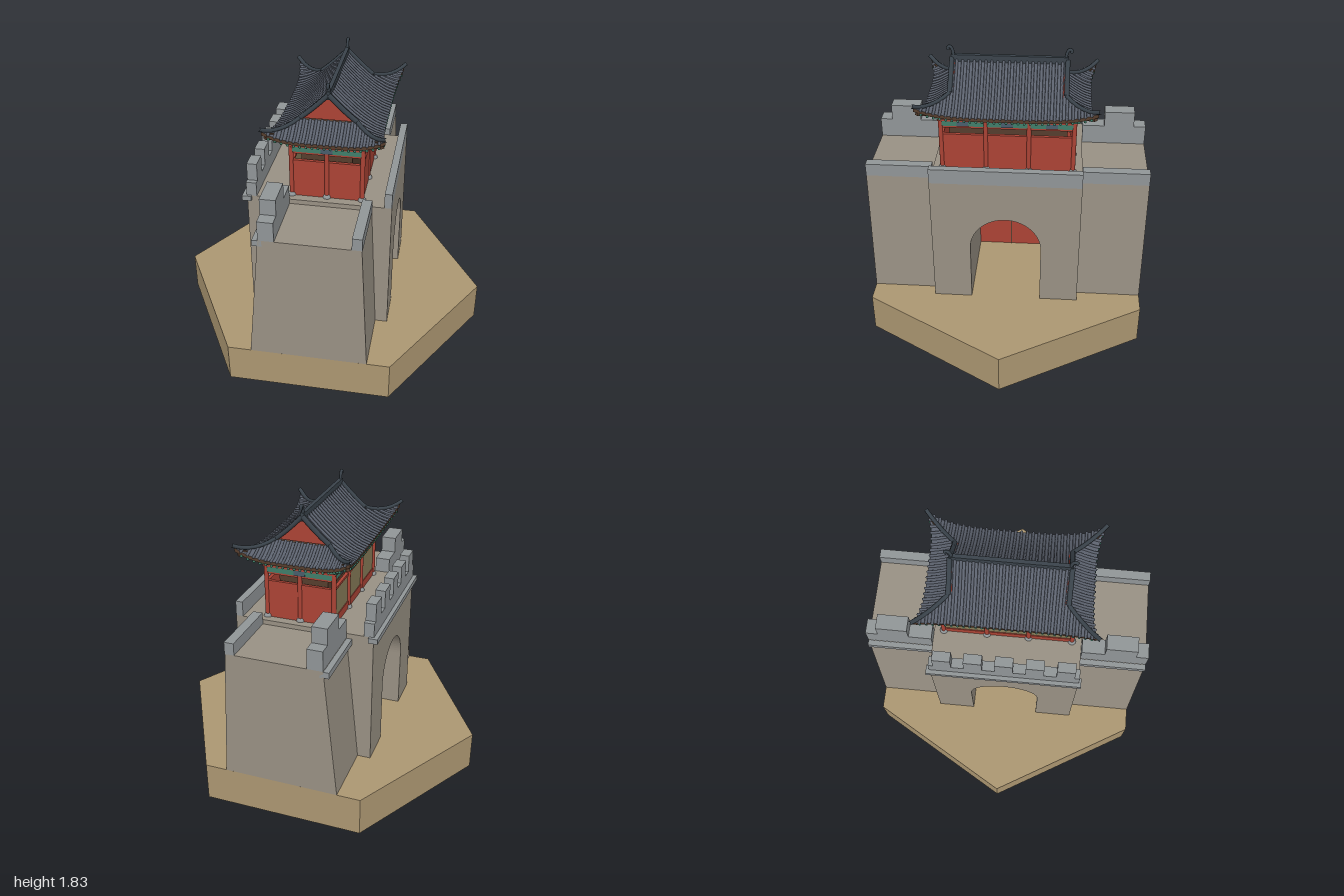
import * as THREE from 'three';
import { mergeGeometries } from 'three/addons/utils/BufferGeometryUtils.js';

const mat = (name, color, side = THREE.FrontSide) =>
  Object.assign(new THREE.MeshStandardMaterial({ color, side }), { name });

export function createModel() {
  const M = {
    sand: mat('sand', 0xab9671), stone: mat('wall stone', 0x989083), grey: mat('grey stone', 0x909597),
    red: mat('red lacquer', 0xab4335), slate: mat('roof slate', 0x5b616d, THREE.DoubleSide),
    ridge: mat('dark ridge', 0x3a434b), green: mat('painted green', 0x3f7d69),
    blue: mat('painted blue', 0x485d6b), beige: mat('paper panel', 0x877b58),
    wood: mat('dark wood', 0x553d2d, THREE.DoubleSide),
  };
  const model = new THREE.Group();
  const add = (parent, name, geo, m) => {
    const mesh = new THREE.Mesh(geo, m);
    mesh.name = name;
    parent.add(mesh);
    return mesh;
  };
  // box given by its minimum and maximum on each axis
  const box = (x0, x1, y0, y1, z0, z1) =>
    new THREE.BoxGeometry(x1 - x0, y1 - y0, z1 - z0)
      .translate((x0 + x1) / 2, (y0 + y1) / 2, (z0 + z1) / 2);
  const tube = (pts, r, n = 8, sides = 5) =>
    new THREE.TubeGeometry(new THREE.CatmullRomCurve3(pts), n, r, sides);
  const V = (x, y, z) => new THREE.Vector3(x, y, z);

  // ---- hexagonal ground ----
  const hex = new THREE.CylinderGeometry(1, 1, 0.25, 6).toNonIndexed();
  hex.rotateY(Math.PI / 6).translate(0, 0.125, 0).computeVertexNormals();
  add(model, 'ground', hex, M.sand);

  // ---- gate block with arched passage, and door ----
  const arch = (s) => {
    s.lineTo(0.22, 0.64);
    s.absarc(0, 0.64, 0.22, 0, Math.PI, false);
    s.lineTo(-0.22, 0.25);
    return s;
  };
  const alongX = (shape, x0, x1) =>
    new THREE.ExtrudeGeometry(shape, { depth: x1 - x0, bevelEnabled: false, curveSegments: 20 })
      .rotateY(Math.PI / 2).translate(x0, 0, 0);
  const block = arch(new THREE.Shape().moveTo(0.46, 1.11) && startBlock());
  function startBlock() {
    const s = new THREE.Shape();
    s.moveTo(0.46, 0.25);
    s.lineTo(0.22, 0.25);
    return s;
  }
  block.lineTo(-0.46, 0.25);
  block.lineTo(-0.46, 1.11);
  block.lineTo(0.46, 1.11);
  add(model, 'gateBlock', alongX(block, -0.437, 0.435), M.stone);
  const door = new THREE.Shape();
  door.moveTo(0.22, 0.25);
  add(model, 'door', alongX(arch(door), -0.18, -0.15), M.red);
  for (const x of [-0.182, -0.148])
    add(model, 'doorSeam', box(x - 0.002, x + 0.002, 0.25, 0.82, -0.003, 0.003), M.wood);

  // ---- gate block parapets ----
  add(model, 'innerParapet', box(0.39, 0.435, 1.11, 1.205, -0.46, 0.46), M.grey);
  add(model, 'outerLedge', box(-0.466, -0.41, 1.08, 1.112, -0.48, 0.475), M.grey);
  add(model, 'outerParapet', box(-0.44, -0.378, 1.11, 1.2, -0.46, 0.46), M.grey);
  for (let i = -2; i <= 2; i++)
    add(model, 'merlon', box(-0.44, -0.378, 1.2, 1.31, i * 0.187 - 0.055, i * 0.187 + 0.055), M.grey);

  // ---- tapered side walls with their parapets ----
  const wing = new THREE.Shape([[-0.355, 0.25], [0.36, 0.25], [0.317, 1.08], [-0.273, 1.08]]
    .map(([x, y]) => new THREE.Vector2(x, y)));
  for (const s of [-1, 1]) {
    const g = new THREE.Group();
    g.name = s > 0 ? 'frontWall' : 'backWall';
    model.add(g);
    const zBox = (x0, x1, y0, y1, a, b) => box(x0, x1, y0, y1, Math.min(s * a, s * b), Math.max(s * a, s * b));
    const body = new THREE.ExtrudeGeometry(wing, { depth: 0.426, bevelEnabled: false });
    add(g, 'wallBody', body.translate(0, 0, s > 0 ? 0.44 : -0.866), M.stone);
    add(g, 'lowParapet', zBox(0.26, 0.319, 1.075, 1.155, 0.46, 0.866), M.grey);
    add(g, 'highParapet', zBox(-0.272, -0.178, 1.075, 1.205, 0.46, 0.866), M.grey);
    add(g, 'wallMerlon', zBox(-0.272, -0.178, 1.205, 1.305, 0.6, 0.79), M.grey);
    add(g, 'wallLedge', zBox(-0.307, -0.25, 1.04, 1.078, 0.46, 0.866), M.grey);
  }

  // ---- gate tower ----
  const tower = new THREE.Group();
  tower.name = 'tower';
  tower.position.x = 0.038;
  model.add(tower);
  const HX = 0.212, HZ = 0.4;
  add(tower, 'innerRoom', box(-0.16, 0.145, 1.11, 1.41, -0.36, 0.36), M.wood);
  for (const s of [-1, 1]) {
    add(tower, 'endWall', box(-HX, HX, 1.11, 1.35, s * 0.395 - 0.01, s * 0.395 + 0.01), M.red);
  }
  add(tower, 'sideWall', box(0.197, 0.217, 1.11, 1.35, -HZ, HZ), M.red);
  add(tower, 'openSideSill', box(-0.217, -0.197, 1.11, 1.16, -HZ, HZ), M.red);
  add(tower, 'openSideRail', box(-0.217, -0.197, 1.335, 1.35, -HZ, HZ), M.red);
  for (const z of [-0.265, 0, 0.265])
    add(tower, 'paperPanel', box(-0.212, -0.203, 1.16, 1.335, z - 0.12, z + 0.12), M.beige);

  // columns on stone bases
  const spots = [];
  for (const z of [-HZ, -0.13, 0.13, HZ]) for (const x of [-HX, HX]) spots.push([x, z]);
  for (const z of [-HZ, HZ]) spots.push([0, z]);
  for (const [x, z] of spots) {
    add(tower, 'column', new THREE.CylinderGeometry(0.014, 0.014, 0.33, 12).translate(x, 1.275, z), M.red);
    add(tower, 'columnBase', new THREE.SphereGeometry(0.025, 12, 6, 0, Math.PI * 2, 0, Math.PI / 2)
      .translate(x, 1.11, z), M.grey);
  }

  // painted beams
  const slab = (name, e, y0, y1, m) => add(tower, name, box(-HX - e, HX + e, y0, y1, -HZ - e, HZ + e), m);
  slab('lowerBeam', 0.006, 1.395, 1.408, M.red);
  slab('paintedBeam', 0.01, 1.408, 1.442, M.green);
  slab('upperBeam', 0.016, 1.442, 1.456, M.red);
  slab('bracketCore', -0.01, 1.456, 1.535, M.wood);

  // bracket sets and the painted shields below them
  const bracket = (x, z) => {
    const parts = [[0.024, 1.456], [0.038, 1.474], [0.054, 1.492]].map(([h, y]) =>
      box(x - h, x + h, y, y + 0.012, z - h, z + h));
    add(tower, 'bracketArms', mergeGeometries(parts), M.green);
    add(tower, 'bracketBlock', new THREE.CylinderGeometry(0.05, 0.022, 0.045, 4, 1)
      .rotateY(Math.PI / 4).toNonIndexed().translate(x, 1.478, z), M.blue).geometry.computeVertexNormals();
  };
  for (const s of [-1, 1]) {
    for (let i = -3; i <= 3; i++) {
      bracket(s * HX, i * HZ / 3);
      if (i % 2 === 0) add(tower, 'shield',
        box(s * (HX + 0.01) - 0.004, s * (HX + 0.01) + 0.004, 1.409, 1.441, i * HZ / 3 - 0.035, i * HZ / 3 + 0.035), M.blue);
    }
    for (const x of [-0.07, 0.07]) bracket(x, s * HZ);
    add(tower, 'shield', box(-0.035, 0.035, 1.409, 1.441, s * (HZ + 0.01) - 0.004, s * (HZ + 0.01) + 0.004), M.blue);
    // purlins carrying the eaves
    add(tower, 'sidePurlin', box(s * 0.255 - 0.008, s * 0.255 + 0.008, 1.502, 1.518, -0.45, 0.45), M.green);
    add(tower, 'endPurlin', box(-0.265, 0.265, 1.502, 1.518, s * 0.44 - 0.008, s * 0.44 + 0.008), M.green);
  }

  // ---- hip-and-gable roof ----
  const A = 0.165, B = 0.345, RUN = 0.145, FLARE = 0.04;
  const slope = (d) => 1.51 + 0.235 * Math.pow(Math.max(0, 1 - d / (A + RUN)), 1.4);
  // lower roof: a = distance along the eave, v = 0 at the break to 1 at the eave, half = length at the break
  const skirt = (a, v, half) => {
    const u = Math.abs(a) / (half + (RUN + FLARE) * v), lift = Math.pow(u, 4);
    return { out: v * RUN + FLARE * v * lift, y: slope(A + v * RUN) + 0.075 * v * v * lift };
  };
  const sides = [];
  for (const s of [-1, 1]) {
    sides.push({ half: B, main: true, at: (a, v, dy = 0) => { const p = skirt(a, v, B); return V(s * (A + p.out), p.y + dy, a); },
      top: (a, d, dy = 0) => V(s * d, slope(d) + dy, a) });
    sides.push({ half: A, main: false, at: (a, v, dy = 0) => { const p = skirt(a, v, A); return V(a, p.y + dy, s * (B + p.out)); } });
  }
  const sheet = (fn, nu, nv) => {
    const g = new THREE.PlaneGeometry(1, 1, nu, nv), p = g.attributes.position;
    for (let i = 0; i < p.count; i++) {
      const q = fn(p.getX(i) * 2, 0.5 - p.getY(i));
      p.setXYZ(i, q.x, q.y, q.z);
    }
    g.computeVertexNormals();
    return g;
  };
  const ribs = [], rafters = [];
  for (const S of sides) {
    const spread = (u, v) => u * (S.half + (RUN + FLARE) * v);
    add(tower, 'lowerRoof', sheet((u, v) => S.at(spread(u, v), v), 24, 6), M.slate);
    add(tower, 'soffit', sheet((u, v) => S.at(spread(u, v), v, -0.022), 24, 6), M.wood);
    add(tower, 'eaveEdge', sheet((u, v) => S.at(spread(u, 1), 1, -0.022 * v), 24, 1), M.wood);
    if (S.main) add(tower, 'upperRoof', sheet((u, v) => S.top(u * B, v * A), 1, 8), M.slate);
    const n = S.main ? 15 : 9, pitch = 0.035;
    for (let i = -n; i <= n; i++) {
      const a = i * pitch, v0 = Math.max(0, (Math.abs(a) - S.half) / (RUN + FLARE));
      if (v0 > 0.95) continue;
      const path = [];
      if (S.main && Math.abs(a) < B) for (let k = 0; k < 4; k++) path.push(S.top(a, A * k / 4, 0.003));
      for (let k = 0; k <= 4; k++) path.push(S.at(a, v0 + (1 - v0) * k / 4, 0.003));
      ribs.push(tube(path, 0.009, 8, 6));
      // round tile end, rafter and its tip
      const tip = S.at(a, 1, 0.003);
      ribs.push(new THREE.SphereGeometry(0.0095, 6, 4).translate(tip.x, tip.y, tip.z));
      const r0 = Math.max(v0, 0.35);
      rafters.push(tube([S.at(a, r0, -0.028), S.at(a, (r0 + 0.97) / 2, -0.028), S.at(a, 0.97, -0.028)], 0.008, 3, 5));
      const end = S.at(a, 0.98, -0.027);
      rafters.push(new THREE.SphereGeometry(0.009, 6, 4).translate(end.x, end.y, end.z));
    }
  }
  add(tower, 'tileRibs', mergeGeometries(ribs), M.slate);
  add(tower, 'rafters', mergeGeometries(rafters), M.green);

  // ridges, gables, finials and corner beams
  add(tower, 'mainRidge', box(-0.012, 0.012, 1.725, 1.775, -0.35, 0.35), M.ridge);
  for (const s of [-1, 1]) {
    const g = new THREE.Shape();
    g.moveTo(-A, slope(A));
    for (let i = -8; i <= 8; i++) g.lineTo(A * i / 8, slope(Math.abs(A * i / 8)));
    add(tower, 'gable', new THREE.ExtrudeGeometry(g, { depth: 0.01, bevelEnabled: false })
      .translate(0, 0, s * 0.325 - 0.005), M.red);
    add(tower, 'finial', tube([[1.75, 0.335], [1.795, 0.338], [1.822, 0.352], [1.818, 0.368], [1.802, 0.364]]
      .map(([y, z]) => V(0, y, s * z)), 0.01, 14, 6), M.ridge);
    for (const t of [-1, 1]) {
      const edge = [];
      for (let k = 0; k <= 5; k++) edge.push(V(t * A * k / 5, slope(A * k / 5) + 0.01, s * B));
      add(tower, 'gableRidge', tube(edge, 0.015, 10, 6), M.ridge);
      const hip = [];
      for (let k = 0; k <= 5; k++) {
        const v = k / 5, q = (RUN + FLARE) * v;
        hip.push(V(t * (A + q), skirt(B + q, v, B).y + 0.01, s * (B + q)));
      }
      hip.push(V(t * 0.36, 1.602, s * 0.54));
      add(tower, 'hipRidge', tube(hip, 0.013, 12, 6), M.ridge);
      const beam = box(-0.012, 0.012, -0.02, 0.02, -0.09, 0.09);
      beam.rotateX(-0.3).rotateY(Math.atan2(t, s)).translate(t * 0.27, 1.525, s * 0.452);
      add(tower, 'cornerBeam', beam, M.wood);
    }
  }
  return model;
}
